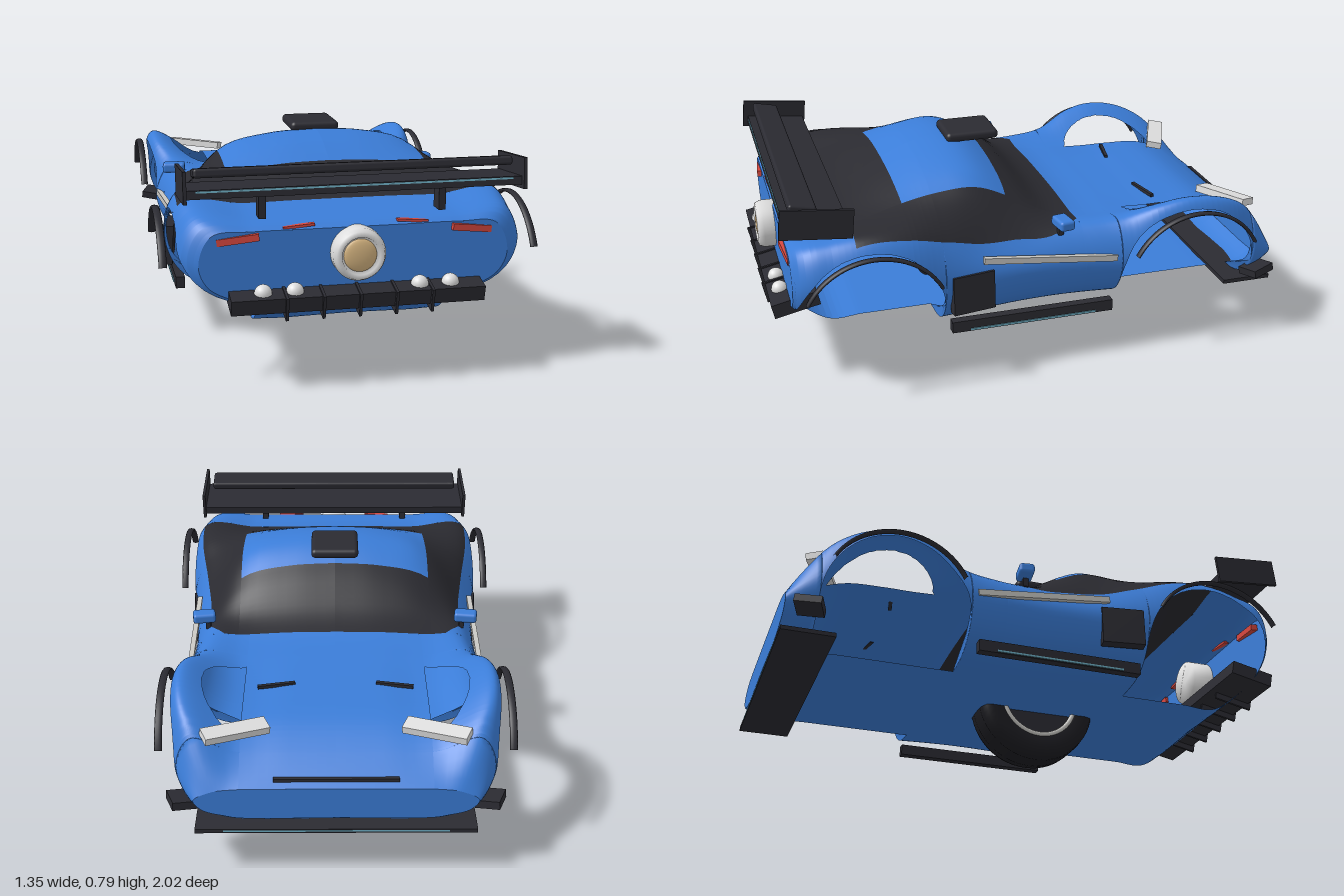
import * as THREE from 'three';
import { RoundedBoxGeometry } from 'three/addons/geometries/RoundedBoxGeometry.js';

const paint = (name, color, side = THREE.FrontSide) => {
  const m = new THREE.MeshStandardMaterial({ color, side });
  m.name = name;
  return m;
};

// Body stations: z, centre top, top at x .36, crest x, crest y, half width, widest y, floor y
const STATIONS = [
  [-0.99, 0.375, 0.372, 0.44, 0.36, 0.50, 0.325, 0.25],
  [-0.95, 0.405, 0.405, 0.47, 0.42, 0.53, 0.35, 0.22],
  [-0.86, 0.46, 0.465, 0.52, 0.53, 0.575, 0.40, 0.20],
  [-0.75, 0.505, 0.505, 0.56, 0.595, 0.60, 0.46, 0.20],
  [-0.6, 0.52, 0.515, 0.572, 0.622, 0.613, 0.47, 0.20],
  [-0.48, 0.522, 0.515, 0.56, 0.60, 0.603, 0.45, 0.20],
  [-0.35, 0.527, 0.52, 0.52, 0.545, 0.585, 0.42, 0.20],
  [-0.2, 0.54, 0.53, 0.50, 0.53, 0.57, 0.42, 0.20],
  [-0.08, 0.585, 0.56, 0.50, 0.525, 0.565, 0.42, 0.20],
  [0.05, 0.69, 0.64, 0.50, 0.53, 0.57, 0.42, 0.20],
  [0.2, 0.768, 0.71, 0.51, 0.55, 0.585, 0.42, 0.20],
  [0.35, 0.758, 0.702, 0.54, 0.58, 0.605, 0.43, 0.20],
  [0.5, 0.695, 0.665, 0.57, 0.612, 0.63, 0.46, 0.20],
  [0.65, 0.62, 0.615, 0.575, 0.622, 0.64, 0.48, 0.20],
  [0.78, 0.59, 0.59, 0.56, 0.605, 0.625, 0.48, 0.20],
  [0.9, 0.575, 0.575, 0.53, 0.575, 0.585, 0.47, 0.285],
  [0.93, 0.56, 0.56, 0.50, 0.55, 0.545, 0.45, 0.31],
];
const interp = (rows) => new THREE.CubicInterpolant(rows.map((r) => r[0]), rows.flatMap((r) => r.slice(1)), rows[0].length - 1);
const body = interp(STATIONS);
const glassEdge = interp([[-0.18, 0.44], [-0.1, 0.5], [0.1, 0.515], [0.3, 0.545], [0.5, 0.58], [0.7, 0.59]]);

// Half cross-section from the centre of the top, round the side, to the centre of the floor
function section(z) {
  const [yc, yi, xs, ys, w, ym, yb] = body.evaluate(z);
  const v = [[0, yc], [0.18, yc + (yi - yc) * 0.2], [0.36, yi], [xs, ys], [w, ym], [w - 0.03, yb + 0.45 * (ym - yb)],
    [w - 0.11, yb + 0.12 * (ym - yb)], [0.34, yb], [0, yb]].map(([x, y]) => new THREE.Vector3(x, y, z));
  return new THREE.CatmullRomCurve3(v, false, 'centripetal').getPoints(160);
}
const at = (p, t) => {
  const i = Math.min(Math.floor(t), p.length - 2);
  return p[i].clone().lerp(p[i + 1], t - i);
};
const topT = (p, x) => {
  const i = p.findIndex((q) => q.x >= x);
  return i < 1 ? 0 : i - (p[i].x - x) / (p[i].x - p[i - 1].x);
};
const floorT = (p) => {
  const i = p.findLastIndex((q) => q.x >= 0.34);
  return i + (p[i].x - 0.34) / (p[i].x - p[i + 1].x);
};

// Wheel arches cut the skin outside x .34
const ARCHES = [{ z: -0.6, r: 0.278 }, { z: 0.65, r: 0.27 }];
const ARCH_Y = 0.31;
const archTop = (z) => {
  const a = ARCHES.find((c) => Math.abs(z - c.z) <= c.r);
  return a ? ARCH_Y + Math.sqrt(Math.max(0, a.r ** 2 - (z - a.z) ** 2)) : -1;
};
function clipToArch(p, a, b, z) {
  const limit = archTop(z);
  if (limit < 0) return [a, b];
  const n = 400;
  const ts = Array.from({ length: n + 1 }, (_, i) => a + ((b - a) * i) / n).filter((t) => at(p, t).y >= limit);
  return ts.length ? [ts[0], ts[ts.length - 1]] : [a, a];
}
const ALL_Z = Array.from({ length: 81 }, (_, i) => -0.99 + (1.92 * i) / 80);
for (const a of ARCHES) {
  for (let i = 0; i <= 36; i++) ALL_Z.push(a.z - a.r * 0.99999 * Math.cos((Math.PI * i) / 36));
  ALL_Z.push(a.z - a.r - 0.0005, a.z + a.r + 0.0005);
}

// Skin strip between two section parameters, over a range of z
function strip(z0, z1, range, n, sign) {
  const zs = [z0, ...ALL_Z.filter((z) => z > z0 + 1e-5 && z < z1 - 1e-5), z1].sort((a, b) => a - b);
  const pos = [], idx = [];
  zs.forEach((z, r) => {
    const p = section(z);
    const [a, b] = range(p, z);
    for (let j = 0; j <= n; j++) {
      const q = at(p, a + ((b - a) * j) / n);
      pos.push(q.x * sign, q.y, z);
      if (r && j) {
        const d = r * (n + 1) + j, c = d - 1, e = d - n - 1, f = e - 1;
        if (sign > 0) idx.push(f, c, e, e, c, d);
        else idx.push(f, e, c, e, d, c);
      }
    }
  });
  const g = new THREE.BufferGeometry();
  g.setAttribute('position', new THREE.Float32BufferAttribute(pos, 3));
  g.setIndex(idx);
  g.computeVertexNormals();
  return g;
}

export function createModel() {
  const car = new THREE.Group();
  car.name = 'car';
  const blue = paint('body blue', 0x3b7dd8, THREE.DoubleSide);
  const black = paint('trim black', 0x2b2b32);
  const glass = paint('glass black', 0x2a2a30, THREE.DoubleSide);
  const rubber = paint('tyre rubber', 0x1d1d22);
  const silver = paint('silver', 0xc9c8c4);
  const white = paint('lamp white', 0xdedede);
  const red = paint('tail light red', 0xd9483f);
  const tan = paint('lens tan', 0xd6b581);
  const teal = paint('accent teal', 0x6fb0c6);

  const add = (name, geo, mat, pos = [0, 0, 0], rot = [0, 0, 0], parent = car) => {
    const m = new THREE.Mesh(geo, mat);
    m.name = name;
    m.position.set(...pos);
    m.rotation.set(...rot);
    parent.add(m);
    return m;
  };
  const box = (name, size, mat, pos, rot, parent) => add(name, new THREE.BoxGeometry(...size), mat, pos, rot, parent);
  // Same box on both sides of the car
  const pair = (name, size, mat, [x, y, z], [rx, ry, rz] = [0, 0, 0]) => {
    for (const s of [1, -1]) box(name, size, mat, [s * x, y, z], [rx, s * ry, s * rz]);
  };

  // Body shell
  for (const s of [1, -1]) {
    const skin = (name, mat, z0, z1, range, n) => add(name, strip(z0, z1, range, n, s), mat);
    const inner = (x) => (p) => [0, topT(p, x)];
    const outer = (edge) => (p, z) => clipToArch(p, topT(p, edge(z)), floorT(p), z);
    const glassX = (z) => glassEdge.evaluate(z)[0];
    skin('hood', blue, -0.99, -0.18, inner(0.34), 10);
    skin('frontFender', blue, -0.99, -0.18, outer(() => 0.34), 30);
    skin('windscreen', glass, -0.18, 0.09, inner(0.385), 10);
    skin('roofPanel', blue, 0.09, 0.49, inner(0.385), 10);
    skin('rearWindow', glass, 0.49, 0.7, inner(0.385), 10);
    skin('sideWindow', glass, -0.18, 0.7, (p, z) => [topT(p, 0.385), topT(p, glassX(z))], 10);
    skin('bodySide', blue, -0.18, 0.7, outer(glassX), 26);
    skin('rearDeck', blue, 0.7, 0.93, inner(0.34), 8);
    skin('rearCorner', blue, 0.7, 0.93, outer(() => 0.34), 30);
    skin('floor', blue, -0.99, 0.93, (p) => [floorT(p), p.length - 1], 3);
  }
  for (const [name, z] of [['nosePanel', -0.99], ['rearPanel', 0.93]]) {
    const half = section(z);
    const ring = [...half, ...half.slice(1, -1).reverse().map((q) => new THREE.Vector3(-q.x, q.y, z))];
    const face = new THREE.ShapeGeometry(new THREE.Shape(ring.map((q) => new THREE.Vector2(q.x, q.y))));
    if (z < 0) face.scale(-1, 1, 1).setIndex([...face.index.array].reverse()).rotateY(Math.PI);
    add(name, face, blue, [0, 0, z]);
  }

  // Arch trims
  for (const [x, z] of [[0.66, 0.65], [0.63, -0.605]]) {
    for (const s of [1, -1]) {
      const arc = new THREE.TorusGeometry(0.275, 0.007, 8, 32, Math.PI * 0.69);
      arc.rotateZ(Math.PI * 0.155).scale(1, 1, 2).rotateY(Math.PI / 2);
      add('archTrim', arc, black, [s * x, ARCH_Y, z]);
    }
  }

  // Side details
  pair('sideVent', [0.04, 0.15, 0.165], black, [0.585, 0.365, 0.275], [0, 0.15, 0.05]);
  pair('sideSkirt', [0.035, 0.045, 0.64], black, [0.552, 0.212, 0.03]);
  pair('skirtStripe', [0.004, 0.007, 0.5], teal, [0.571, 0.197, 0.03]);
  pair('sideStrip', [0.02, 0.024, 0.53], silver, [0.575, 0.45, -0.035], [-0.115, 0, 0]);
  for (const s of [1, -1]) {
    add('mirror', new RoundedBoxGeometry(0.09, 0.04, 0.06, 3, 0.012), blue, [s * 0.525, 0.57, -0.095], [0, s * 0.15, 0]);
    box('mirrorStalk', [0.02, 0.05, 0.02], black, [s * 0.51, 0.54, -0.09]);
  }

  // Nose details
  box('frontSplitter', [1, 0.016, 0.2], black, [0, 0.199, -0.9]);
  box('splitterStripe', [0.8, 0.006, 0.004], teal, [0, 0.2, -0.999]);
  pair('canard', [0.09, 0.03, 0.1], black, [0.55, 0.272, -0.91], [0.12, 0.35, 0.1]);
  pair('headlight', [0.24, 0.028, 0.065], white, [0.355, 0.52, -0.845], [-0.15, 0.41, 0.12]);
  pair('hoodSlit', [0.14, 0.012, 0.014], black, [0.22, 0.523, -0.545], [0, 0.2, 0]);
  box('noseSlit', [0.44, 0.012, 0.014], black, [0, 0.397, -0.965]);

  // Tail lights and central lamp
  pair('tailLight', [0.145, 0.024, 0.03], red, [0.41, 0.535, 0.925], [0, 0.1, -0.12]);
  pair('deckLight', [0.11, 0.009, 0.02], red, [0.2, 0.569, 0.915], [0, 0, -0.08]);
  const lampProfile = [[0, 0.06], [0.062, 0.06], [0.066, 0.075], [0.084, 0.07], [0.093, 0.05], [0.093, -0.08], [0, -0.08]];
  const lamp = new THREE.LatheGeometry(lampProfile.reverse().map(([x, y]) => new THREE.Vector2(x, y)), 40);
  add('centreLamp', lamp.rotateX(Math.PI / 2), white, [0, 0.473, 0.922]);
  add('centreLens', new THREE.SphereGeometry(0.058, 28, 14).scale(1, 1, 0.25), tan, [0, 0.473, 0.983]);

  // Diffuser
  const diffuser = new THREE.Group();
  diffuser.name = 'diffuser';
  diffuser.position.set(0, 0.332, 0.91);
  diffuser.rotation.x = 0.21;
  car.add(diffuser);
  box('diffuserBlade', [0.89, 0.055, 0.175], black, [0, 0, 0], [0, 0, 0], diffuser);
  for (let i = -2; i <= 2; i++) box('diffuserFin', [0.01, 0.085, 0.16], black, [i * 0.1275, -0.01, 0.02], [0, 0, 0], diffuser);
  for (const x of [-0.33, -0.22, 0.22, 0.33]) add('rearLamp', new THREE.SphereGeometry(0.031, 20, 14), white, [x, 0.35, 0.955]);

  // Rear wing
  const wing = new THREE.Group();
  wing.name = 'rearWing';
  wing.position.set(0, 0.71, 0.835);
  wing.rotation.x = -0.1;
  car.add(wing);
  box('lowerBlade', [1.18, 0.03, 0.23], black, [0, -0.022, -0.005], [0, 0, 0], wing);
  box('wingStripe', [1.1, 0.006, 0.004], teal, [0, -0.013, 0.111], [0, 0, 0], wing);
  add('upperBlade', new RoundedBoxGeometry(1.11, 0.032, 0.1, 3, 0.01), black, [0, 0.043, 0.045], [-0.1, 0, 0], wing);
  for (const s of [1, -1]) box('endPlate', [0.012, 0.11, 0.26], black, [s * 0.588, 0.004, 0], [0, 0, 0], wing);
  pair('wingStrut', [0.025, 0.09, 0.06], black, [0.318, 0.635, 0.85]);

  // Roof scoop
  add('roofScoop', new RoundedBoxGeometry(0.19, 0.038, 0.21, 4, 0.017), black, [0, 0.781, 0.135]);

  // Spare wheel under the floor
  const tyreProfile = [[0.15, -0.09], [0.165, -0.1], [0.205, -0.1], [0.23, -0.09], [0.241, -0.065], [0.243, -0.042], [0.236, -0.038],
    [0.243, -0.034], [0.244, 0.034], [0.236, 0.038], [0.243, 0.042], [0.241, 0.065], [0.23, 0.09], [0.205, 0.1], [0.165, 0.1], [0.15, 0.09]];
  const tyre = new THREE.LatheGeometry(tyreProfile.map(([r, y]) => new THREE.Vector2(r, y)), 56);
  add('tyre', tyre.rotateZ(Math.PI / 2), rubber, [0, 0.25, 0.12]);
  add('wheelDisc', new THREE.CylinderGeometry(0.152, 0.152, 0.15, 40).rotateZ(Math.PI / 2), black, [0, 0.25, 0.12]);
  for (const s of [1, -1]) add('rimRing', new THREE.TorusGeometry(0.152, 0.01, 8, 48).rotateY(Math.PI / 2), silver, [s * 0.094, 0.25, 0.12]);

  return car;
}
